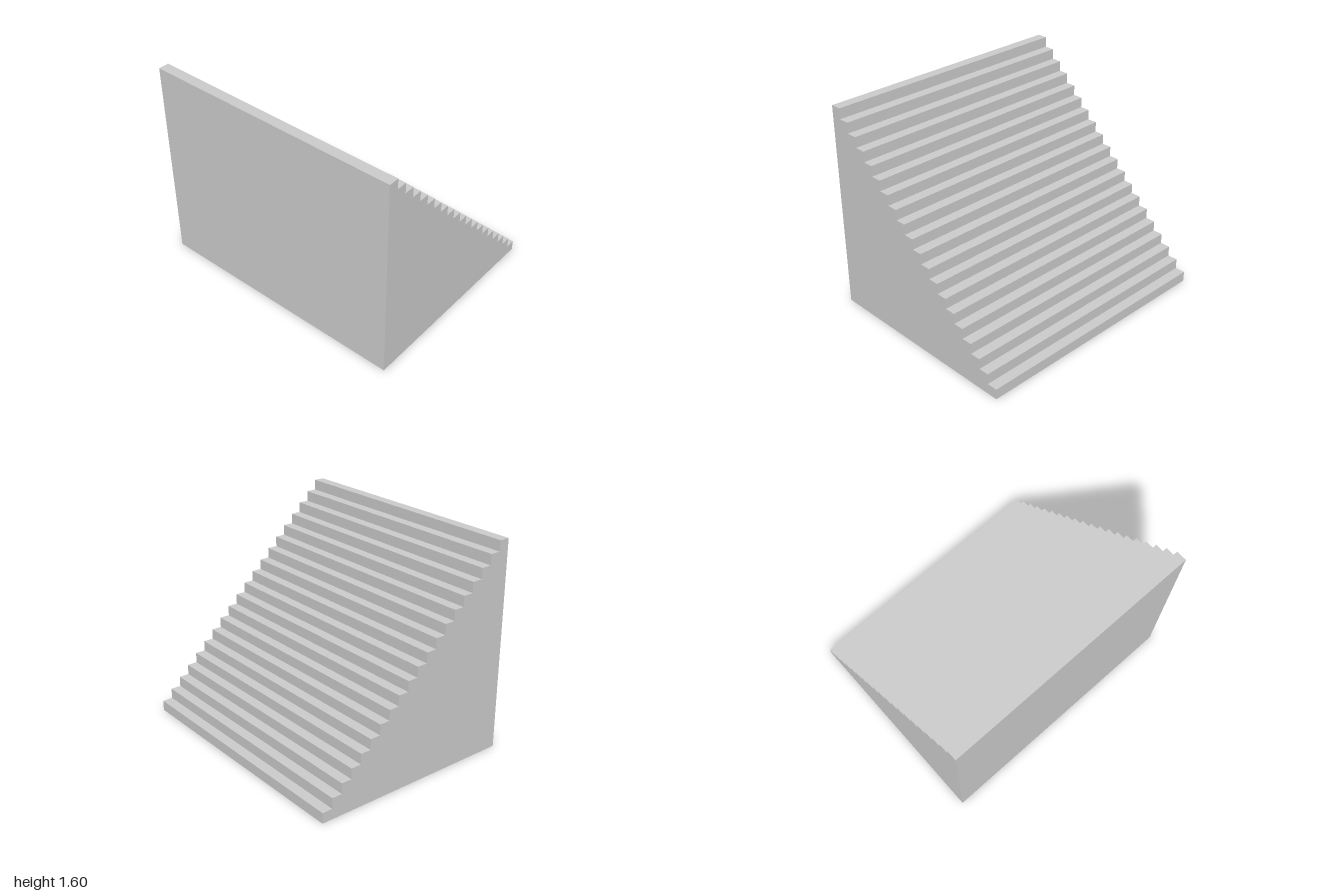
import * as THREE from 'three';

const STEPS = 20, WIDTH = 2, DEPTH = 1.6, HEIGHT = 1.6;

export function createModel() {
  const group = new THREE.Group();
  group.name = 'staircase';

  const tread = DEPTH / STEPS, riser = HEIGHT / STEPS;

  // Side profile: steps climb from the back (-z) to the tall front wall (+z)
  const profile = new THREE.Shape();
  profile.moveTo(DEPTH / 2, 0);
  profile.lineTo(DEPTH / 2, HEIGHT);
  for (let i = STEPS - 1; i >= 0; i--) {
    const z = -DEPTH / 2 + i * tread;
    profile.lineTo(z, (i + 1) * riser);
    profile.lineTo(z, i * riser);
  }
  profile.closePath();

  // Solid flight: profile swept across the full width
  const geometry = new THREE.ExtrudeGeometry(profile, { depth: WIDTH, bevelEnabled: false });
  geometry.translate(0, 0, -WIDTH / 2);
  geometry.rotateY(-Math.PI / 2);

  const material = new THREE.MeshStandardMaterial({ color: 0xcccccc, flatShading: true });
  const stairs = new THREE.Mesh(geometry, material);
  stairs.name = 'stairFlight';
  group.add(stairs);

  return group;
}
